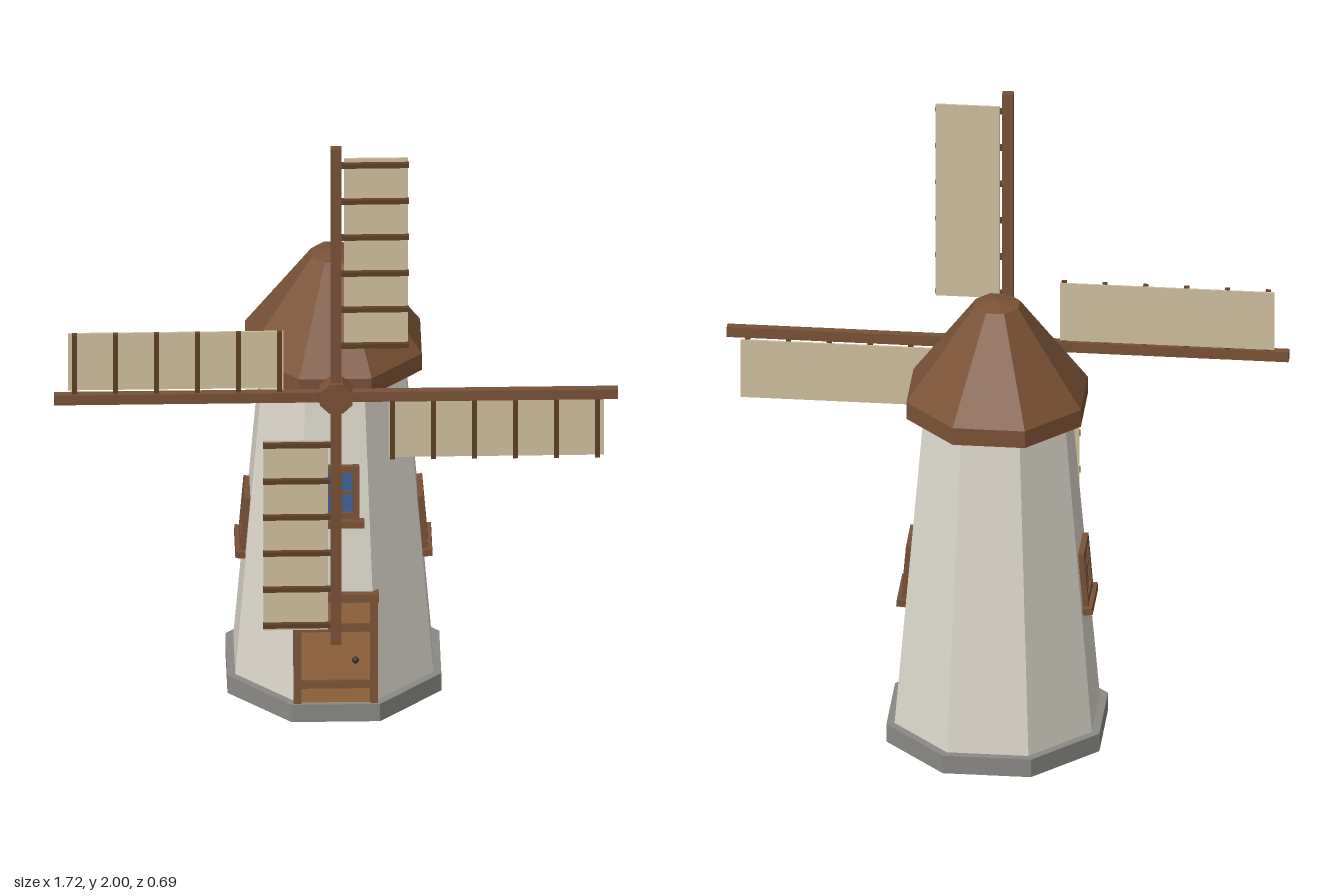
import * as THREE from 'three';

const paint = (name, color) => {
  const m = new THREE.MeshStandardMaterial({ color });
  m.name = name;
  return m;
};

export function createModel() {
  const wall = paint('whitewash', 0xdcd8cc);
  const stone = paint('stone', 0x8a8985);
  const wood = paint('wood', 0x7a5236);
  const darkWood = paint('dark wood', 0x5f4028);
  const doorWood = paint('door wood', 0x9c6b42);
  const glass = paint('glass', 0x3f5f92);
  const cloth = paint('sailcloth', 0xd0c09e);
  const iron = paint('iron', 0x3a3530);

  const group = (parent, name) => {
    const g = new THREE.Group();
    g.name = name;
    parent.add(g);
    return g;
  };
  const add = (parent, name, geometry, material, x = 0, y = 0, z = 0) => {
    const m = new THREE.Mesh(geometry, material);
    m.name = name;
    m.position.set(x, y, z);
    parent.add(m);
    return m;
  };
  const box = (parent, name, material, w, h, d, x, y, z) =>
    add(parent, name, new THREE.BoxGeometry(w, h, d), material, x, y, z);
  const flat = (geometry) => {
    const g = geometry.toNonIndexed();
    g.computeVertexNormals();
    return g;
  };
  // Eight-sided solid; profile radii are measured to the flats
  const octagon = (profile) => flat(new THREE.LatheGeometry(
    profile.map(([r, y]) => new THREE.Vector2(r / Math.cos(Math.PI / 8), y)), 8, Math.PI / 8));

  const model = new THREE.Group();
  model.name = 'windmill';
  const tower = group(model, 'tower');
  tower.position.z = -0.02;

  // Tower body
  const slope = 0.082;
  const wallRadius = (y) => 0.302 - slope * (y - 0.06);
  add(tower, 'base', octagon([[0, 0], [0.326, 0], [0.326, 0.06], [0, 0.06]]), stone);
  add(tower, 'walls', octagon([[wallRadius(0.06), 0.06], [wallRadius(1.11), 1.11]]), wall);
  add(tower, 'roof', octagon([[0, 1.1], [0.267, 1.1], [0.267, 1.157], [0.067, 1.452], [0, 1.467]]), wood);

  // Frame of reference lying on the sloping wall, with local z pointing outward
  const onWall = (name, y, angle) => {
    const turn = group(tower, name);
    turn.rotation.y = angle;
    const g = group(turn, name + 'Parts');
    g.position.set(0, y, wallRadius(y));
    g.rotation.x = -Math.atan(slope);
    return g;
  };

  // Windows
  const addWindow = (name, y, angle) => {
    const g = onWall(name, y, angle);
    box(g, 'glass', glass, 0.11, 0.15, 0.008, 0, 0.013, 0.004);
    for (const s of [-1, 1]) {
      box(g, 'windowFrameSide', wood, 0.02, 0.185, 0.024, s * 0.063, 0.008, 0.006);
      box(g, 'windowFrameRail', wood, 0.146, 0.02, 0.024, 0, 0.013 + s * 0.077, 0.006);
    }
    box(g, 'verticalBar', wood, 0.011, 0.15, 0.014, 0, 0.013, 0.006);
    box(g, 'horizontalBar', wood, 0.11, 0.011, 0.014, 0, 0.013, 0.006);
    box(g, 'sill', wood, 0.176, 0.022, 0.04, 0, -0.09, 0.01);
  };
  addWindow('frontWindow', 0.745, 0);
  addWindow('leftWindow', 0.54, Math.PI / 2);
  addWindow('rightWindow', 0.54, -Math.PI / 2);

  // Door
  const door = onWall('door', 0.06, 0);
  box(door, 'doorPanel', doorWood, 0.212, 0.335, 0.022, 0, 0.168, 0.002);
  for (const s of [-1, 1]) box(door, 'doorPost', wood, 0.024, 0.34, 0.036, s * 0.117, 0.17, 0.004);
  box(door, 'lintel', wood, 0.264, 0.026, 0.042, 0, 0.35, 0.005);
  for (const y of [0.062, 0.25]) box(door, 'doorStrap', wood, 0.21, 0.027, 0.008, 0, y, 0.014);
  add(door, 'doorKnob', new THREE.SphereGeometry(0.011, 8, 6), iron, 0.06, 0.143, 0.018);

  // Sail wheel on its shaft
  const wheel = group(model, 'sailWheel');
  wheel.position.set(0, 1.14, 0.32);
  const disc = (r, d) => flat(new THREE.CylinderGeometry(r, r, d, 8).rotateY(Math.PI / 8).rotateX(Math.PI / 2));
  add(wheel, 'shaft', disc(0.029, 0.2), wood, 0, 0, -0.12);
  add(wheel, 'hub', disc(0.054, 0.054), wood, 0, 0, -0.002);
  for (let i = 0; i < 4; i++) {
    const blade = group(wheel, 'blade');
    blade.rotation.z = -i * Math.PI / 2;
    box(blade, 'spar', wood, 0.034, 0.86, 0.024, 0, 0.43, 0);
    box(blade, 'sail', cloth, 0.196, 0.657, 0.006, 0.122, 0.4885, -0.011);
    for (let k = 0; k < 6; k++)
      box(blade, 'sailBar', darkWood, 0.214, 0.015, 0.015, 0.115, 0.172 + k * 0.125, -0.002);
  }
  return model;
}
